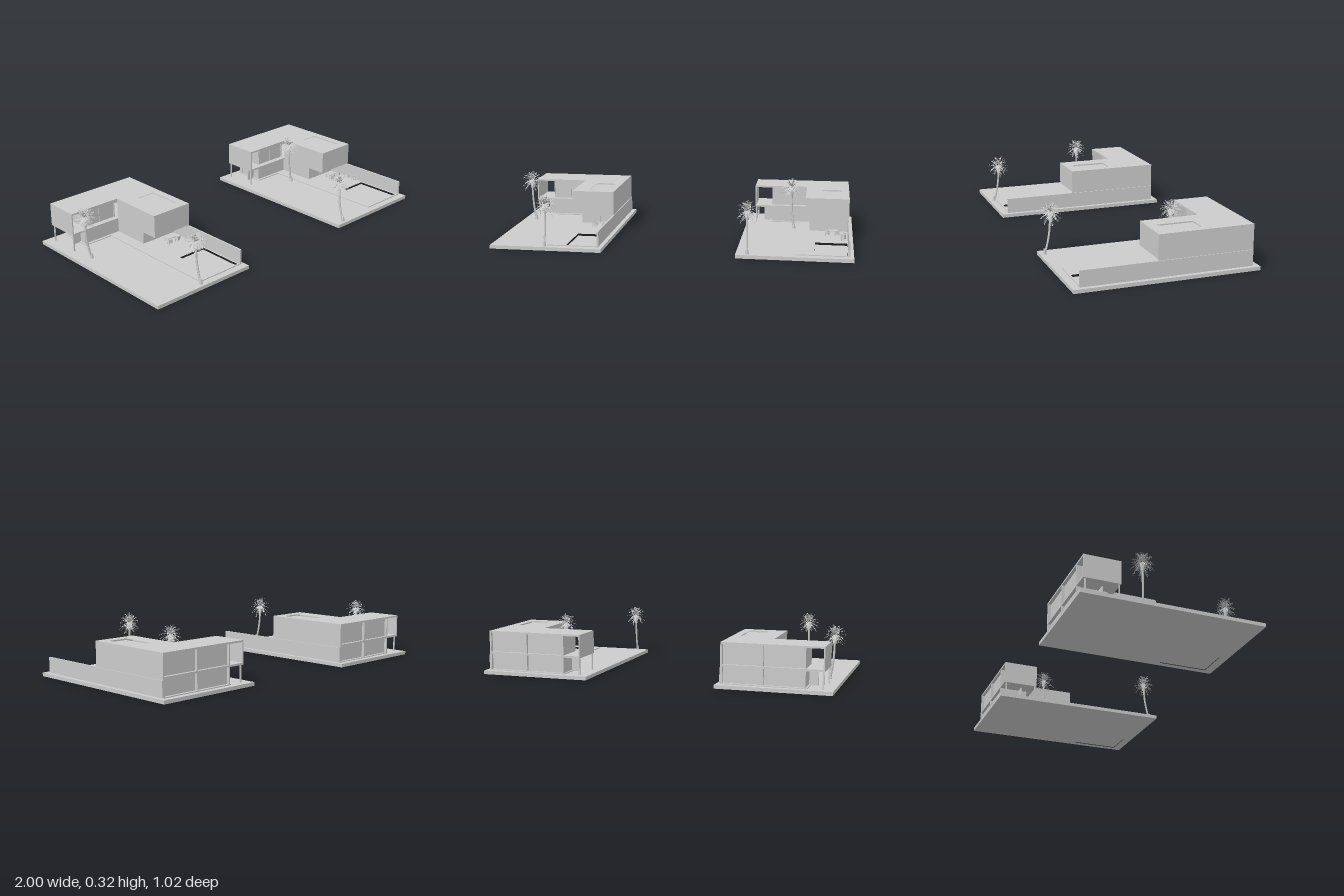
import * as THREE from 'three';

const grey = new THREE.MeshStandardMaterial({ color: 0xcccccc, flatShading: true });
const thin = new THREE.MeshStandardMaterial({ color: 0xcccccc, flatShading: true, side: THREE.DoubleSide });
const smooth = new THREE.MeshStandardMaterial({ color: 0xcccccc });

function add(parent, name, geometry, material = grey) {
  const mesh = new THREE.Mesh(geometry, material);
  mesh.name = name;
  parent.add(mesh);
  return mesh;
}

// Box given by its two opposite corners
function box(parent, name, x0, x1, y0, y1, z0, z1) {
  const mesh = add(parent, name, new THREE.BoxGeometry(x1 - x0, y1 - y0, z1 - z0));
  mesh.position.set((x0 + x1) / 2, (y0 + y1) / 2, (z0 + z1) / 2);
  return mesh;
}

const rect = (x0, x1, z0, z1) => [[x0, z0], [x1, z0], [x1, z1], [x0, z1]];

// Horizontal slab from a plan outline (x, z), with optional hole
function slab(parent, name, outline, y0, y1, hole) {
  const toPoints = (list) => list.map(([x, z]) => new THREE.Vector2(x, -z));
  const shape = new THREE.Shape(toPoints(outline));
  if (hole) shape.holes.push(new THREE.Path(toPoints(hole)));
  const g = new THREE.ExtrudeGeometry(shape, { depth: y1 - y0, bevelEnabled: false });
  g.rotateX(-Math.PI / 2).translate(0, y0, 0);
  return add(parent, name, g);
}

function seeded(seed) {
  return () => (seed = (seed * 16807) % 2147483647) / 2147483647;
}

// Feathery crown: arching fronds carrying narrow leaflets on both sides
function crownGeometry(rand) {
  const v = [];
  const tri = (a, b, c) => [a, b, c].forEach((p) => v.push(p.x, p.y, p.z));
  const fronds = 38, steps = 9;
  for (let i = 0; i < fronds; i++) {
    const angle = i * 2.39996;
    const lift = -0.75 + 2.05 * (i / fronds) + 0.2 * (rand() - 0.5);
    const length = 0.056 + 0.008 * rand();
    const out = new THREE.Vector3(Math.cos(angle), 0, Math.sin(angle));
    const side = new THREE.Vector3(-out.z, 0, out.x);
    const at = (t) => out.clone().multiplyScalar(length * t * Math.cos(lift))
      .setY(length * (t * Math.sin(lift) * 1.15 - 0.25 * t * t));
    const w = side.clone().multiplyScalar(0.0009);
    tri(at(0).add(w), at(0).sub(w), at(1));
    for (let s = 2; s <= steps; s++) {
      const t = s / steps;
      const root = at(t - 0.1), next = at(t - 0.03);
      const reach = 0.017 * Math.sin(Math.PI * (0.25 + 0.65 * t));
      for (const m of [-1, 1]) {
        const tip = at(t + 0.08).addScaledVector(side, m * reach);
        tip.y -= 0.005 * rand();
        tri(root, next, tip);
      }
    }
  }
  const g = new THREE.BufferGeometry();
  g.setAttribute('position', new THREE.Float32BufferAttribute(v, 3));
  g.computeVertexNormals();
  return g;
}

function palm(base, top, seed) {
  const tree = new THREE.Group();
  tree.name = 'palmTree';
  const [bx, bz] = base, [tx, ty, tz] = top;
  const curve = new THREE.CatmullRomCurve3([
    new THREE.Vector3(bx, 0.018, bz),
    new THREE.Vector3(bx + (tx - bx) * 0.5, 0.08, bz + (tz - bz) * 0.5),
    new THREE.Vector3(bx + (tx - bx) * 0.85, 0.15, bz + (tz - bz) * 0.85),
    new THREE.Vector3(tx, ty, tz),
  ]);
  add(tree, 'trunk', new THREE.TubeGeometry(curve, 14, 0.0058, 8), smooth);
  // Flared root and dry leaf skirt
  add(tree, 'trunkFoot', new THREE.CylinderGeometry(0.006, 0.011, 0.03, 8), smooth).position.set(bx, 0.034, bz);
  add(tree, 'leafSkirt', new THREE.CylinderGeometry(0.015, 0.008, 0.045, 9)).position.set(tx, ty - 0.03, tz);
  add(tree, 'crown', crownGeometry(seeded(seed)), thin).position.set(tx, ty, tz);
  return tree;
}

function chair(parent, x, z, turn) {
  const c = new THREE.Group();
  c.name = 'chair';
  box(c, 'chairSeat', -0.011, 0.011, 0.012, 0.015, -0.011, 0.011);
  box(c, 'chairBack', -0.011, 0.011, 0.015, 0.033, -0.012, -0.009);
  for (const sx of [-1, 1]) {
    box(c, 'chairArm', sx * 0.011 - 0.0012, sx * 0.011 + 0.0012, 0.021, 0.0235, -0.011, 0.01);
    for (const sz of [-1, 1])
      box(c, 'chairLeg', sx * 0.01 - 0.001, sx * 0.01 + 0.001, 0, sz > 0 ? 0.022 : 0.013, sz * 0.009 - 0.001, sz * 0.009 + 0.001);
  }
  c.position.set(x, 0.025, z);
  c.rotation.y = turn;
  parent.add(c);
}

// One plot: x runs from 0 to 0.63 across its width
function villa() {
  const g = new THREE.Group();
  g.name = 'villa';
  const pool = rect(0.42, 0.597, 0.18, 0.457);

  // Ground, terrace and pool
  slab(g, 'plotBase', rect(0, 0.63, -0.507, 0.507), 0, 0.02, pool);
  slab(g, 'terrace', rect(0.317, 0.605, -0.474, 0.466), 0.02, 0.025, pool);
  box(g, 'houseFloor', 0.14, 0.317, 0.02, 0.025, -0.474, -0.29);
  box(g, 'poolFloor', 0.42, 0.597, 0.004, 0.008, 0.18, 0.457);

  // Long boundary wall
  box(g, 'sideWall', 0.6, 0.61, 0.025, 0.109, -0.472, 0.47);

  // Upper floor: L-shaped floor and roof
  const plan = [[0.048, -0.474], [0.605, -0.474], [0.605, 0.055], [0.357, 0.055], [0.357, -0.272], [0.048, -0.272]];
  slab(g, 'upperFloor', plan, 0.115, 0.126, null);
  slab(g, 'roof', plan, 0.236, 0.246, rect(0.45, 0.56, -0.2, 0));
  box(g, 'roofRecess', 0.445, 0.565, 0.233, 0.237, -0.205, 0.005);
  box(g, 'upperSideWall', 0.597, 0.605, 0.109, 0.238, -0.474, 0.055);
  box(g, 'upperFrontWall', 0.357, 0.605, 0.12, 0.24, 0.045, 0.055);
  box(g, 'upperCourtWall', 0.357, 0.365, 0.12, 0.24, -0.272, 0.055);
  box(g, 'balconyEndWall', 0.048, 0.055, 0.12, 0.24, -0.474, -0.272);
  box(g, 'balconyRoomWall', 0.148, 0.154, 0.12, 0.24, -0.455, -0.305);
  box(g, 'upperCourtGlazing', 0.15, 0.36, 0.12, 0.24, -0.309, -0.305);

  // Recessed rear glazing with mullions, both floors
  for (const [y0, y1] of [[0.025, 0.116], [0.126, 0.237]]) {
    box(g, 'rearGlazing', 0.15, 0.6, y0, y1, -0.457, -0.453);
    for (const x of [0.147, 0.372, 0.595]) box(g, 'rearMullion', x, x + 0.007, y0, y1, -0.473, -0.453);
  }
  for (const x of [0.15, 0.25, 0.352]) box(g, 'courtMullion', x, x + 0.005, 0.126, 0.237, -0.309, -0.301);

  // Ground floor rooms
  box(g, 'groundEndWall', 0.15, 0.156, 0.025, 0.116, -0.457, -0.305);
  box(g, 'groundCourtGlazing', 0.15, 0.385, 0.025, 0.116, -0.309, -0.305);
  box(g, 'groundSideGlazing', 0.383, 0.387, 0.025, 0.116, -0.309, -0.08);
  box(g, 'groundFrontGlazing', 0.383, 0.6, 0.025, 0.116, -0.084, -0.08);
  for (const x of [0.381, 0.488, 0.593]) box(g, 'frontMullion', x, x + 0.007, 0.025, 0.116, -0.086, -0.077);
  box(g, 'screenWall', 0.1, 0.165, 0.02, 0.116, -0.355, -0.349);
  for (const z of [-0.464, -0.284]) box(g, 'balconyPost', 0.053, 0.06, 0.02, 0.116, z, z + 0.007);

  // Outdoor furniture
  box(g, 'tableTop', 0.49, 0.55, 0.044, 0.047, -0.03, 0.005);
  for (const x of [0.494, 0.543]) for (const z of [-0.027, -0.001]) box(g, 'tableLeg', x, x + 0.003, 0.025, 0.045, z, z + 0.003);
  chair(g, 0.485, 0.027, 2.9);
  chair(g, 0.54, 0.027, 3.4);
  chair(g, 0.572, 0.08, -1.2);
  chair(g, 0.575, 0.135, -2.0);
  return g;
}

export function createModel() {
  const model = new THREE.Group();
  model.name = 'twinVillas';
  // Offset of each plot, then its palms: foot (x, z) and crown (x, y, z)
  const plots = [
    [-0.995, [[0.075, -0.145], [0.051, 0.267, -0.155]], [[0.306, 0.482], [0.306, 0.252, 0.447]]],
    [0.37, [[0.287, -0.145], [0.27, 0.267, -0.155]], [[0.062, 0.482], [0.058, 0.252, 0.447]]],
  ];
  plots.forEach(([x, ...palms], i) => {
    const plot = villa();
    palms.forEach(([foot, crown], j) => plot.add(palm(foot, crown, 101 + 37 * i + 11 * j)));
    plot.position.x = x;
    model.add(plot);
  });
  return model;
}
